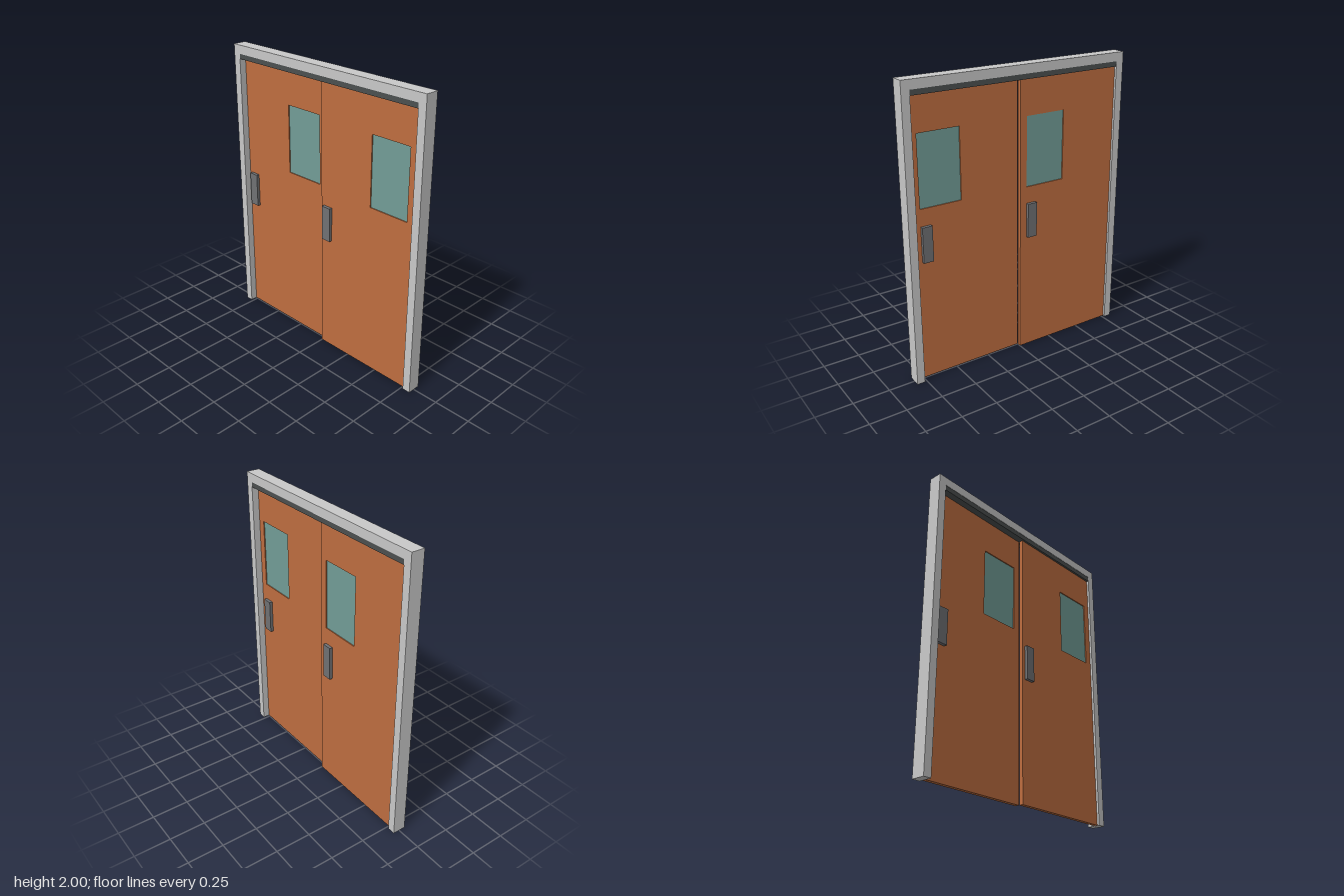
import * as THREE from 'three';

const mat = (name, color) => {
  const m = new THREE.MeshStandardMaterial({ color });
  m.name = name;
  return m;
};

const rect = (C, x0, x1, y0, y1) => {
  const s = new C();
  s.moveTo(x0, y0);
  s.lineTo(x1, y0);
  s.lineTo(x1, y1);
  s.lineTo(x0, y1);
  s.closePath();
  return s;
};

export function createModel() {
  const frameGrey = mat('frame grey', 0xc9c9c9);
  const orange = mat('door orange', 0xbf6e40);
  const glass = mat('glass teal', 0x729d97);
  const handleGrey = mat('handle grey', 0x707174);
  const railDark = mat('rail dark grey', 0x4c5050);

  const W = 0.82, IN = 0.765, H = 2, INTOP = 1.94, D = 0.046;
  const model = new THREE.Group();
  model.name = 'slidingDoor';

  const add = (parent, name, geometry, material) => {
    const mesh = new THREE.Mesh(geometry, material);
    mesh.name = name;
    parent.add(mesh);
    return mesh;
  };
  // Box given by its limits on each axis
  const box = (parent, name, material, x0, x1, y0, y1, z0, z1) => {
    const mesh = add(parent, name, new THREE.BoxGeometry(x1 - x0, y1 - y0, z1 - z0), material);
    mesh.position.set((x0 + x1) / 2, (y0 + y1) / 2, (z0 + z1) / 2);
  };

  // Frame: one portal-shaped extrusion, open at the floor
  const portal = new THREE.Shape([
    [-W, 0], [-IN, 0], [-IN, INTOP], [IN, INTOP], [IN, 0], [W, 0], [W, H], [-W, H],
  ].map(([x, y]) => new THREE.Vector2(x, y)));
  const frameGeo = new THREE.ExtrudeGeometry(portal, { depth: 2 * D, bevelEnabled: false });
  add(model, 'frame', frameGeo.translate(0, 0, -D), frameGrey);

  // Dark running rail under the lintel
  box(model, 'topRail', railDark, -IN, IN, 1.905, INTOP, -0.044, 0.044);

  // Each leaf: panel with window hole, recessed glass, a handle on both sides
  const leaf = (name, x, z) => {
    const g = new THREE.Group();
    g.name = name;
    g.position.set(x, 0, z);
    model.add(g);
    const t = 0.014; // half thickness
    const panel = rect(THREE.Shape, 0, IN, 0.002, 1.905);
    panel.holes.push(rect(THREE.Path, 0.424, 0.715, 1.19, 1.667));
    const geo = new THREE.ExtrudeGeometry(panel, { depth: 2 * t, bevelEnabled: false });
    add(g, 'panel', geo.translate(0, 0, -t), orange);
    box(g, 'windowGlass', glass, 0.424, 0.715, 1.19, 1.667, -0.007, 0.007);
    box(g, 'frontHandle', handleGrey, 0.023, 0.093, 0.835, 1.075, t, t + 0.022);
    box(g, 'backHandle', handleGrey, 0.646, 0.716, 0.835, 1.075, -t - 0.022, -t);
  };
  leaf('rightLeaf', -IN, -0.016);
  leaf('leftLeaf', 0, 0.016);

  return model;
}
